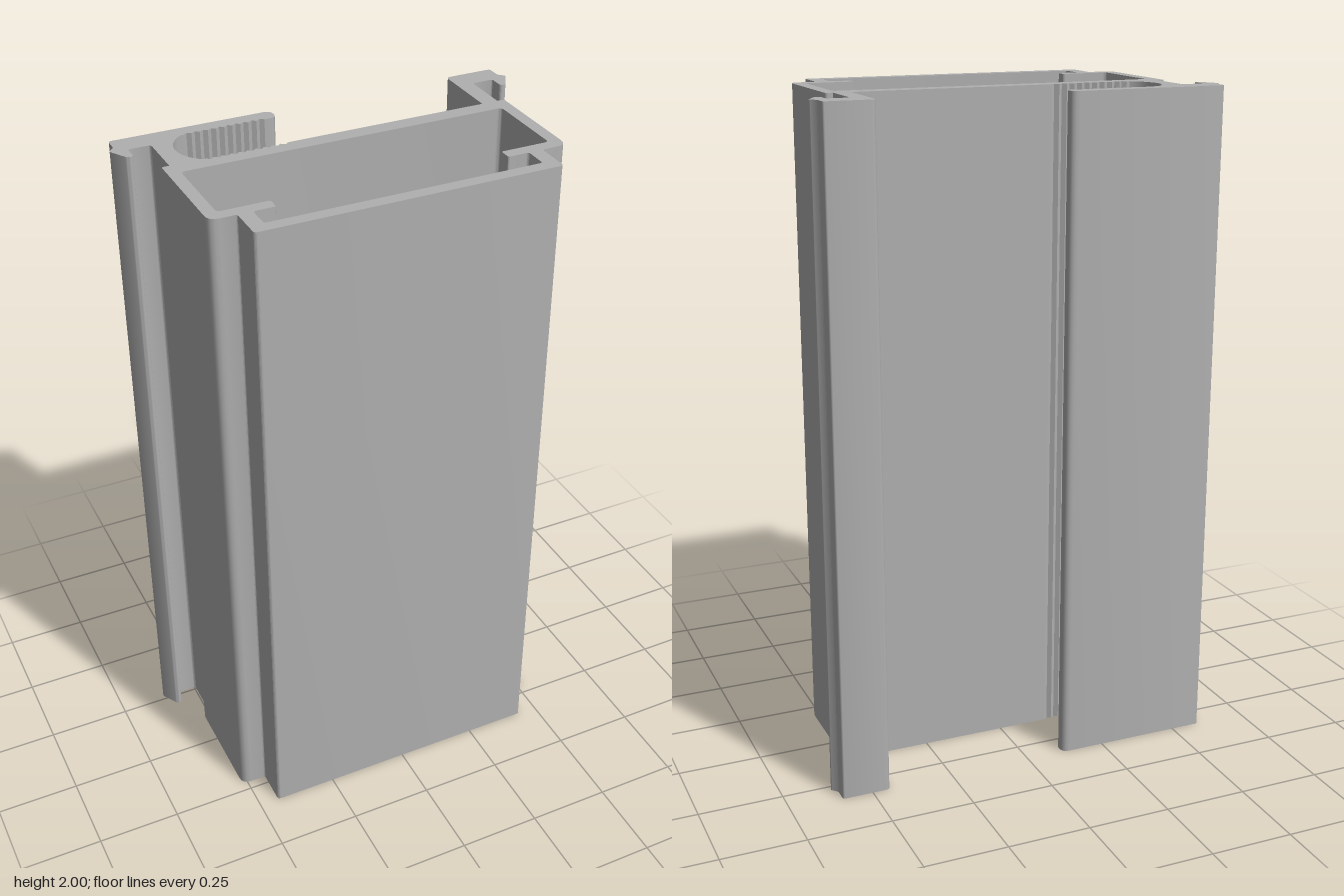
import * as THREE from 'three';
import { toCreasedNormals } from 'three/addons/utils/BufferGeometryUtils.js';

// Trace a closed path through [x, y, radius] corners, rounding each one.
function roundedPath(path, corners) {
  const n = corners.length;
  corners.forEach(([x, y, r = 0], i) => {
    const p = new THREE.Vector2(x, y);
    const towards = (q) => {
      const d = new THREE.Vector2(q[0] - x, q[1] - y);
      return p.clone().addScaledVector(d.clone().normalize(), Math.min(r, d.length() * 0.499));
    };
    const a = r ? towards(corners[(i + n - 1) % n]) : p;
    if (i === 0) path.moveTo(a.x, a.y);
    else path.lineTo(a.x, a.y);
    if (r) {
      const b = towards(corners[(i + 1) % n]);
      path.quadraticCurveTo(x, y, b.x, b.y);
    }
  });
  path.closePath();
  return path;
}

const mirror = (points) => points.map(([x, y, r]) => [-x, y, r]).reverse();

// Row of small serrations from x0 to x1, cut by depth from level y.
function serrations(x0, x1, y, depth, count) {
  const step = (x1 - x0) / count;
  const points = [];
  for (let i = 0; i < count; i++) {
    points.push([x0 + i * step, y], [x0 + (i + 0.5) * step, y + depth]);
  }
  points.push([x1, y]);
  return points;
}

export function createModel() {
  const group = new THREE.Group();
  const aluminium = new THREE.MeshStandardMaterial({ color: 0xb0b0b0 });
  aluminium.name = 'aluminium';

  // Right half of the outer wall: stepped front, side wall and hooked rear arm.
  // Profile y points to the back.
  const side = [
    [0.44, -0.33, 0.01], [0.44, -0.222, 0.008], [0.517, -0.222, 0.03],
    [0.517, 0.117, 0.008], [0.495, 0.117], [0.495, 0.26, 0.012],
    [0.56, 0.26, 0.006], [0.56, 0.212, 0.01], [0.577, 0.212, 0.008],
    [0.61, 0.268, 0.005], [0.592, 0.287, 0.005], [0.592, 0.332, 0.01],
  ];

  // Round end of the screw channel.
  const channelEnd = [];
  for (let i = 0; i <= 16; i++) {
    const a = -2.15 - (i / 16) * (2 * Math.PI - 4.3);
    channelEnd.push([-0.347 + 0.1 * Math.cos(a), 0.201 + 0.1 * Math.sin(a)]);
  }

  const outline = [
    ...side,
    [0.446, 0.332, 0.014], [0.446, 0.117],
    ...serrations(-0.153, -0.393, 0.117, -0.009, 10),
    ...channelEnd,
    ...serrations(-0.393, -0.153, 0.285, 0.008, 10),
    [-0.115, 0.285, 0.024], [-0.115, 0.332, 0.024],
    ...mirror(side),
  ];

  // Inner chamber with the two ledges facing inward.
  const halfChamber = [
    [0.398, -0.292, 0.008], [0.398, -0.222, 0.008], [0.335, -0.222, 0.006],
    [0.335, -0.185, 0.006], [0.481, -0.185, 0.012], [0.481, 0.068, 0.014],
  ];
  const profile = roundedPath(new THREE.Shape(), outline);
  profile.holes.push(roundedPath(new THREE.Path(), [...halfChamber, ...mirror(halfChamber)]));

  // Extrude upright.
  const extruded = new THREE.ExtrudeGeometry(profile, { depth: 2, bevelEnabled: false, curveSegments: 4 });
  extruded.rotateX(-Math.PI / 2);
  const mesh = new THREE.Mesh(toCreasedNormals(extruded, 0.55), aluminium);
  mesh.name = 'extrudedFrameProfile';
  group.add(mesh);
  return group;
}
